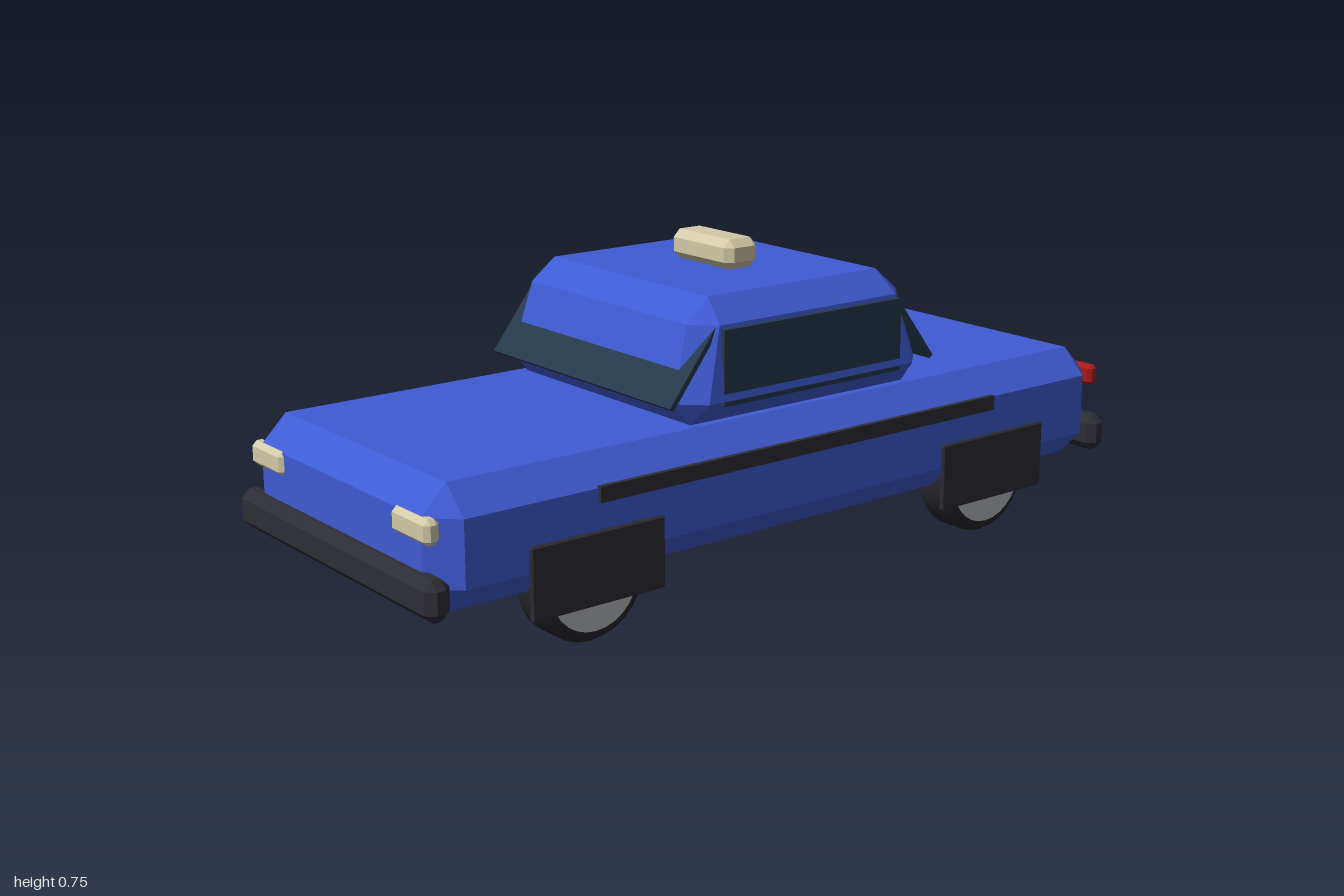
import * as THREE from 'three';
import { ConvexGeometry } from 'three/addons/geometries/ConvexGeometry.js';

const paint = (name, color) => Object.assign(new THREE.MeshStandardMaterial({ color }), { name });

// Box with every edge cut by c; optional taper(point) reshapes the corners
function chamferBox(w, h, d, c, taper) {
  const points = [];
  for (const sx of [-1, 1]) for (const sy of [-1, 1]) for (const sz of [-1, 1]) {
    const x = w / 2, y = h / 2, z = d / 2;
    for (const [px, py, pz] of [[x, y - c, z - c], [x - c, y, z - c], [x - c, y - c, z]]) {
      const p = new THREE.Vector3(px * sx, py * sy, pz * sz);
      if (taper) taper(p);
      points.push(p);
    }
  }
  return new ConvexGeometry(points);
}

export function createModel() {
  const car = new THREE.Group();
  car.name = 'car';
  const blue = paint('blue paint', 0x3f5bd3);
  const glass = paint('dark glass', 0x25394b);
  const trim = paint('black trim', 0x2d2d35);
  const rubber = paint('tyre rubber', 0x26262c);
  const metal = paint('hub metal', 0xb2b7bb);
  const cream = paint('cream lamp', 0xd2caa8);
  const red = paint('red lamp', 0xa81a1a);

  const add = (name, geometry, material, x, y, z, parent = car) => {
    const mesh = new THREE.Mesh(geometry, material);
    mesh.name = name;
    mesh.position.set(x, y, z);
    parent.add(mesh);
    return mesh;
  };

  // Body shell
  add('body', chamferBox(0.79, 0.272, 1.94, 0.062), blue, 0, 0.269, 0);

  // Cabin, narrowing towards the roof
  const cabinH = 0.272;
  add('cabin', chamferBox(0.708, cabinH, 0.67, 0.053, (p) => {
    const t = p.y / (cabinH / 2);
    p.x *= 1 - 0.04 * t;
    p.z *= 1 - 0.12 * t;
  }), blue, 0, 0.541, -0.04);

  // Roof sign
  add('roofSign', chamferBox(0.22, 0.07, 0.096, 0.018), cream, 0, 0.712, -0.045);

  // Bumpers and sloping windscreens at both ends
  for (const s of [1, -1]) {
    const end = s > 0 ? 'front' : 'rear';
    add(end + 'Bumper', chamferBox(0.81, 0.09, 0.06, 0.02), trim, 0, 0.185, 0.97 * s);
    const screen = add(end + 'Windscreen', new THREE.BoxGeometry(0.68, 0.205, 0.012), glass, 0, 0.537, -0.04 + 0.325 * s);
    screen.rotation.x = -0.66 * s;
  }

  // Wheel parts, with the axle along x
  const tyreProfile = [[0.09, -0.053], [0.12, -0.053], [0.132, -0.045], [0.14, -0.032],
    [0.14, 0.032], [0.132, 0.045], [0.12, 0.053], [0.09, 0.053]].map(([r, y]) => new THREE.Vector2(r, y));
  const tyreGeo = new THREE.LatheGeometry(tyreProfile, 28).rotateZ(Math.PI / 2);
  const hubGeo = new THREE.CylinderGeometry(0.112, 0.112, 0.108, 28).rotateZ(Math.PI / 2);
  const capGeo = new THREE.CylinderGeometry(0.025, 0.025, 0.116, 12).rotateZ(Math.PI / 2);

  for (const s of [1, -1]) {
    const side = s > 0 ? 'left' : 'right';
    // Side glass and rubbing strip
    add(side + 'SideWindow', new THREE.BoxGeometry(0.012, 0.17, 0.525), glass, 0.355 * s, 0.531, -0.042);
    add(side + 'SideStrip', new THREE.BoxGeometry(0.016, 0.035, 1.165), trim, 0.395 * s, 0.33, 0);

    // Lamps
    add(side + 'Headlight', chamferBox(0.14, 0.056, 0.036, 0.011), cream, 0.3 * s, 0.318, 0.962);
    add(side + 'TailLight', chamferBox(0.135, 0.05, 0.03, 0.008), red, 0.315 * s, 0.332, -0.966);

    // Wheels with their flat arch covers
    for (const e of [1, -1]) {
      const place = side + (e > 0 ? 'Front' : 'Rear');
      const wheel = new THREE.Group();
      wheel.name = place + 'Wheel';
      wheel.position.set(0.331 * s, 0.14, 0.586 * e);
      car.add(wheel);
      add('tyre', tyreGeo, rubber, 0, 0, 0, wheel);
      add('hub', hubGeo, metal, 0, 0, 0, wheel);
      add('hubCap', capGeo, metal, 0, 0, 0, wheel);
      add(place + 'ArchCover', chamferBox(0.012, 0.162, 0.342, 0.004), trim, 0.398 * s, 0.172, 0.586 * e);
    }
  }
  return car;
}
